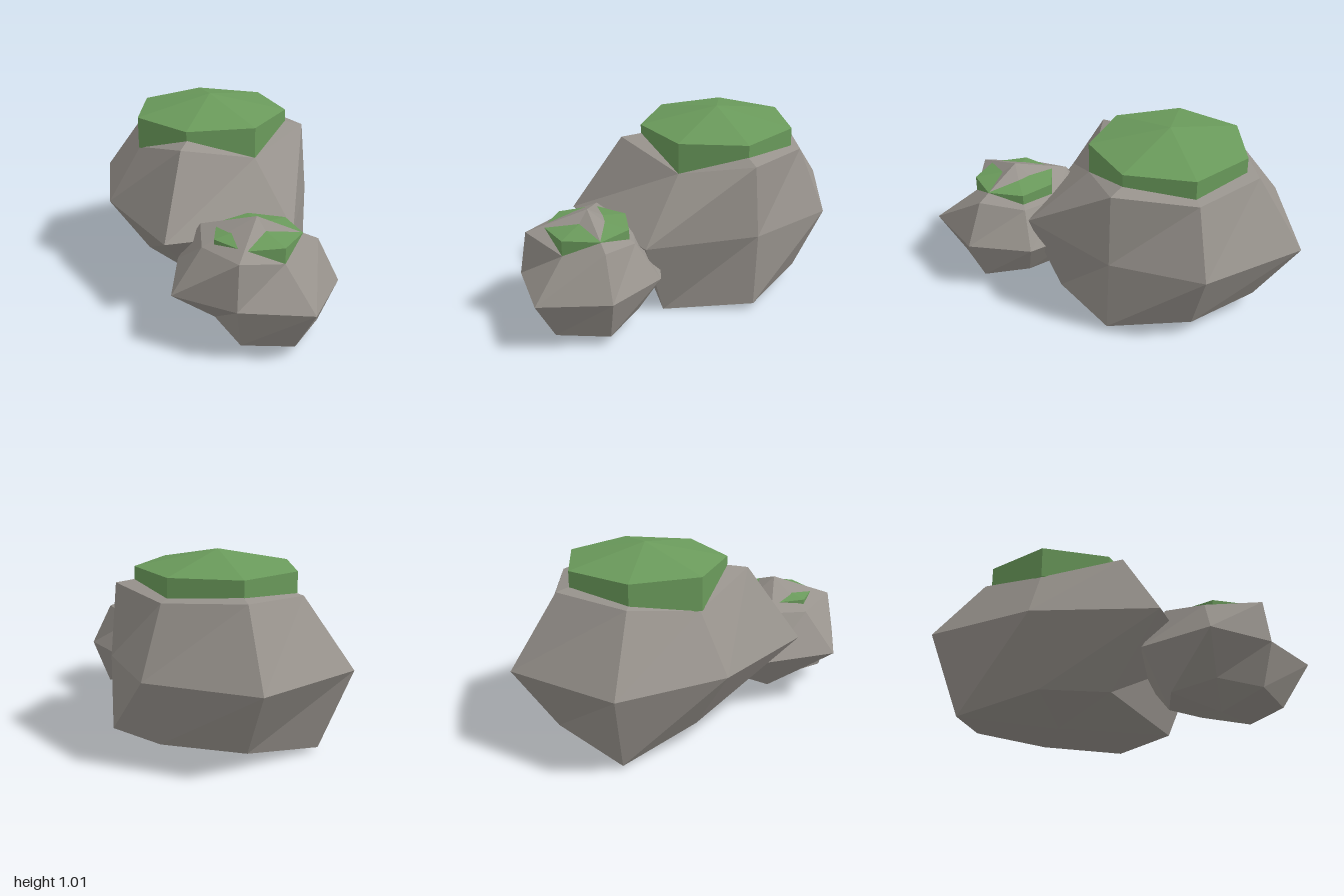
import * as THREE from 'three';

const SIDES = 7;

// Faceted boulder: rings of [x, y, z] from top to bottom, closed by two poles
function boulder(name, top, rings, bottom, material) {
  const pos = [];
  const tri = (a, b, c) => pos.push(...a, ...b, ...c);
  for (let i = 0; i < SIDES; i++) {
    const j = (i + 1) % SIDES;
    tri(top, rings[0][j], rings[0][i]);
    for (let r = 0; r < rings.length - 1; r++) {
      const u = rings[r], l = rings[r + 1];
      tri(u[i], u[j], l[j]);
      tri(u[i], l[j], l[i]);
    }
    const last = rings[rings.length - 1];
    tri(bottom, last[i], last[j]);
  }
  const geo = new THREE.BufferGeometry();
  geo.setAttribute('position', new THREE.Float32BufferAttribute(pos, 3));
  geo.computeVertexNormals();
  const mesh = new THREE.Mesh(geo, material);
  mesh.name = name;
  return mesh;
}

// Seven-sided moss cap: shallow cone on a straight skirt, closed beneath
function mossCap(name, x, z, radius, apexY, rimY, baseY, material) {
  const profile = [[0, baseY], [radius, baseY], [radius, rimY], [0, apexY]]
    .map(([r, y]) => new THREE.Vector2(r, y));
  const geo = new THREE.LatheGeometry(profile, SIDES, Math.PI / 2).toNonIndexed();
  geo.computeVertexNormals();
  const mesh = new THREE.Mesh(geo, material);
  mesh.name = name;
  mesh.position.set(x, 0, z);
  return mesh;
}

export function createModel() {
  const stone = new THREE.MeshStandardMaterial({ color: 0x98938d, flatShading: true });
  stone.name = 'stone grey';
  const moss = new THREE.MeshStandardMaterial({ color: 0x6a9a5b, flatShading: true });
  moss.name = 'moss green';

  const group = new THREE.Group();
  group.name = 'mossyRocks';

  // Large boulder: shoulder, widest ring, foot
  group.add(boulder('largeRock', [-0.32, 0.93, -0.07], [
    [[0.11, 0.75, -0.07], [0.02, 0.855, 0.35], [-0.42, 0.745, 0.34], [-0.74, 0.80, 0.13],
      [-0.77, 0.82, -0.29], [-0.43, 0.805, -0.54], [0.01, 0.835, -0.48]],
    [[0.45, 0.445, -0.07], [0.20, 0.445, 0.575], [-0.46, 0.445, 0.53], [-0.99, 0.445, 0.24],
      [-1.0, 0.445, -0.41], [-0.46, 0.445, -0.69], [0.02, 0.445, -0.51]],
    [[0.28, 0.0, -0.07], [-0.04, 0.11, 0.28], [-0.41, 0.11, 0.31], [-0.84, 0.015, 0.16],
      [-0.79, 0.085, -0.30], [-0.42, 0.085, -0.54], [0.03, 0.035, -0.50]],
  ], [-0.32, 0.035, -0.07], stone));

  // Small boulder
  group.add(boulder('smallRock', [0.53, 0.64, 0.235], [
    [[0.76, 0.47, 0.235], [0.73, 0.53, 0.49], [0.43, 0.505, 0.50], [0.24, 0.53, 0.38],
      [0.29, 0.47, 0.12], [0.47, 0.48, -0.02], [0.72, 0.525, -0.005]],
    [[1.0, 0.293, 0.235], [0.755, 0.293, 0.52], [0.43, 0.293, 0.685], [0.11, 0.293, 0.44],
      [0.13, 0.293, 0.04], [0.44, 0.293, -0.155], [0.79, 0.293, -0.09]],
    [[0.85, 0.05, 0.235], [0.71, 0.07, 0.465], [0.48, 0.12, 0.46], [0.26, 0.08, 0.36],
      [0.27, 0.08, 0.11], [0.46, 0.09, -0.03], [0.72, 0.05, -0.02]],
  ], [0.53, 0.025, 0.235], stone));

  // Moss caps
  group.add(mossCap('largeMoss', -0.32, -0.07, 0.43, 1.01, 0.92, 0.745, moss));
  group.add(mossCap('smallMoss', 0.53, 0.235, 0.23, 0.60, 0.555, 0.46, moss));

  return group;
}
